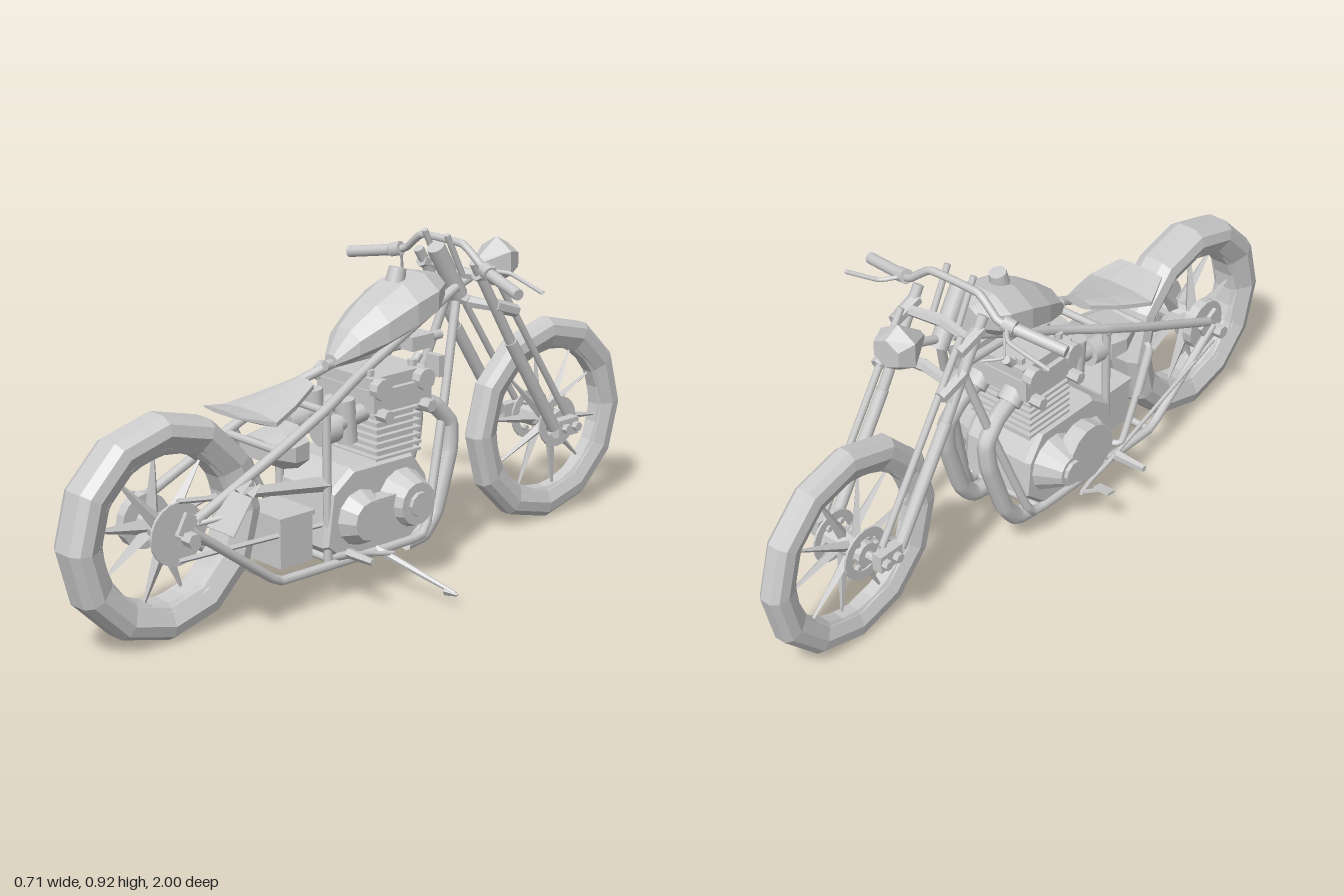
import * as THREE from 'three';

const flat = new THREE.MeshStandardMaterial({ color: 0xcccccc, flatShading: true, side: THREE.DoubleSide });
const smooth = new THREE.MeshStandardMaterial({ color: 0xcccccc, side: THREE.DoubleSide });
const V = (p) => new THREE.Vector3(...p);

export function createModel() {
  const model = new THREE.Group();
  model.name = 'motorcycle';
  const bike = new THREE.Group();
  bike.name = 'bike';
  bike.position.x = -0.012;
  model.add(bike);

  const add = (name, geo, mat = flat, parent = bike) => {
    const m = new THREE.Mesh(geo, mat);
    m.name = name;
    parent.add(m);
    return m;
  };
  const box = (name, size, pos, rx = 0) => {
    const m = add(name, new THREE.BoxGeometry(...size));
    m.position.set(...pos);
    m.rotation.x = rx;
    return m;
  };
  // Straight bar between two points, optionally tapered
  const rod = (name, a, b, r, r2 = r, sides = 8, parent = bike) => {
    const d = V(b).sub(V(a));
    const m = add(name, new THREE.CylinderGeometry(r2, r, d.length(), sides), sides > 7 ? smooth : flat, parent);
    m.position.copy(V(a).addScaledVector(d, 0.5));
    m.quaternion.setFromUnitVectors(new THREE.Vector3(0, 1, 0), d.normalize());
    return m;
  };
  // Bent pipe with slightly rounded corners
  const pipe = (name, pts, r) => {
    const path = new THREE.CatmullRomCurve3(pts.map(V), false, 'catmullrom', 0.2);
    return add(name, new THREE.TubeGeometry(path, pts.length * 6, r, 8), smooth);
  };
  // Disc or drum with its axis along x
  const disc = (name, r, w, pos, sides = 16, parent = bike, r2 = r) => {
    const m = add(name, new THREE.CylinderGeometry(r2, r, w, sides).rotateZ(-Math.PI / 2), flat, parent);
    m.position.set(...pos);
    return m;
  };
  // Skin over sections [z, bottom, top, half width], from rear to front
  const loft = (name, sections, n = 8) => {
    const pos = [], idx = [];
    for (const [z, lo, hi, hw] of sections)
      for (let i = 0; i < n; i++) {
        const a = (i / n) * Math.PI * 2 + Math.PI / n;
        pos.push(Math.cos(a) * hw * 1.08, (lo + hi) / 2 + (Math.sin(a) * (hi - lo) * 1.08) / 2, z);
      }
    const last = sections.length - 1;
    for (let s = 0; s < last; s++)
      for (let i = 0; i < n; i++) {
        const a = s * n + i, b = s * n + ((i + 1) % n);
        idx.push(a, a + n, b, b, a + n, b + n);
      }
    for (let i = 1; i < n - 1; i++) idx.push(0, i, i + 1, last * n, last * n + i + 1, last * n + i);
    const g = new THREE.BufferGeometry();
    g.setAttribute('position', new THREE.Float32BufferAttribute(pos, 3));
    g.setIndex(idx);
    g.computeVertexNormals();
    return add(name, g);
  };
  const ring = (profile, sides) =>
    new THREE.LatheGeometry(profile.map(([r, x]) => new THREE.Vector2(r, x)), sides).rotateZ(Math.PI / 2);
  const sides = (fn) => [-1, 1].forEach(fn);

  // Wheels
  const wheel = (name, z, hw, inner, spokes, spokeRadius) => {
    const w = new THREE.Group();
    w.name = name;
    w.position.set(0, 0.302, z);
    bike.add(w);
    add('tyre', ring([[inner, -hw * 0.65], [0.255, -hw], [0.285, -hw * 0.88], [0.301, -hw * 0.45], [0.301, hw * 0.45],
      [0.285, hw * 0.88], [0.255, hw], [inner, hw * 0.65], [inner, -hw * 0.65]], 12), flat, w);
    add('rim', ring([[inner - 0.012, -hw * 0.45], [inner + 0.01, -hw * 0.75], [inner + 0.01, hw * 0.75],
      [inner - 0.012, hw * 0.45], [inner - 0.012, -hw * 0.45]], 24), flat, w);
    for (let i = 0; i < spokes; i++) {
      const a = (i / spokes) * Math.PI * 2, x = (i % 2 ? 1 : -1) * hw * 0.4, b = a + 0.15;
      rod('spoke', [x, Math.sin(a) * 0.03, Math.cos(a) * 0.03],
        [x * 0.4, Math.sin(b) * inner, Math.cos(b) * inner], spokeRadius, 0.003, 4, w);
    }
    disc('hub', 0.034, 0.13, [0, 0, 0], 12, w);
    disc('axle', 0.012, 0.27, [0, 0, 0], 8, w);
    return w;
  };
  const rear = wheel('rearWheel', 0.7, 0.064, 0.21, 9, 0.022);
  disc('sprocket', 0.085, 0.008, [0.075, 0, 0], 20, rear);
  disc('brakeDrum', 0.075, 0.03, [-0.07, 0, 0], 16, rear);
  const front = wheel('frontWheel', -0.7, 0.039, 0.222, 10, 0.016);
  sides((s) => {
    const d = add('brakeDisc', ring([[0.05, -0.003], [0.075, -0.003], [0.075, 0.003], [0.05, 0.003], [0.05, -0.003]], 20), flat, front);
    d.position.x = s * 0.055;
    for (let i = 0; i < 6; i++) {
      const a = (i * Math.PI) / 3;
      disc('discBolt', 0.009, 0.012, [s * 0.05, Math.sin(a) * 0.045, Math.cos(a) * 0.045], 6, front);
    }
  });

  // Frame
  sides((s) => {
    pipe('upperFrameTube', [[s * 0.112, 0.34, 0.67], [s * 0.11, 0.46, 0.4], [s * 0.1, 0.54, 0.22], [s * 0.06, 0.6, 0.06],
      [s * 0.02, 0.76, -0.32]], 0.014);
    pipe('lowerFrameTube', [[s * 0.115, 0.32, 0.69], [s * 0.118, 0.12, 0.42], [s * 0.118, 0.11, 0.36], [s * 0.115, 0.11, -0.08],
      [s * 0.11, 0.14, -0.13], [s * 0.06, 0.46, -0.24], [s * 0.02, 0.72, -0.32]], 0.013);
    rod('seatPost', [s * 0.1, 0.11, 0.22], [s * 0.095, 0.54, 0.22], 0.012);
    box('axlePlate', [0.012, 0.06, 0.08], [s * 0.112, 0.325, 0.68], -0.5);
    disc('axleNut', 0.02, 0.035, [s * 0.13, 0.302, 0.7], 6);
  });
  for (const [y, z] of [[0.11, 0.4], [0.11, 0.2], [0.11, -0.08], [0.53, 0.22], [0.46, 0.39]])
    rod('crossTube', [-0.11, y, z], [0.11, y, z], 0.011);
  rod('backboneTube', [0, 0.62, 0.14], [0, 0.63, -0.28], 0.014);
  rod('steeringNeck', [0, 0.88, -0.26], [0, 0.73, -0.35], 0.026, 0.026, 12);

  // Forks, each with a slim tube in front, and yokes
  sides((s) => {
    const x = s * 0.11;
    rod('forkTube', [x, 0.85, -0.3], [x, 0.55, -0.475], 0.015);
    rod('forkLower', [x, 0.6, -0.446], [x, 0.31, -0.63], 0.018, 0.018, 10);
    rod('forkFrontTube', [x * 0.93, 0.82, -0.375], [x * 0.93, 0.34, -0.685], 0.01);
    box('axleClamp', [0.03, 0.05, 0.08], [x, 0.305, -0.675]);
    for (const z of [-0.66, -0.7]) disc('clampNut', 0.014, 0.03, [x * 1.15, 0.305, z], 6);
    rod('handlebarRiser', [s * 0.044, 0.8, -0.32], [s * 0.044, 0.92, -0.26], 0.009);
    for (const [y, z] of [[0.8, -0.35], [0.7, -0.42]]) {
      rod('yokeArm', [0, y, z + 0.02], [x, y, z], 0.018, 0.014, 6);
      rod('yokeClamp', [x, y + 0.015, z + 0.04], [x, y - 0.015, z - 0.045], 0.02, 0.018, 6);
    }
  });

  // Handlebar, grips and levers
  pipe('handlebar', [[-0.3, 0.815, -0.255], [-0.17, 0.84, -0.285], [-0.145, 0.85, -0.29], [-0.08, 0.897, -0.285],
    [0.08, 0.897, -0.285], [0.145, 0.85, -0.29], [0.17, 0.84, -0.285], [0.3, 0.815, -0.255]], 0.011);
  sides((s) => {
    rod('grip', [s * 0.2, 0.834, -0.275], [s * 0.335, 0.81, -0.243], 0.016, 0.016, 10);
    rod('leverClamp', [s * 0.165, 0.843, -0.285], [s * 0.195, 0.835, -0.277], 0.021, 0.021, 8);
    pipe('lever', [[s * 0.18, 0.84, -0.29], [s * 0.22, 0.832, -0.33], [s * 0.345, 0.803, -0.325]], 0.006);
  });
  pipe('brakeHose', [[-0.18, 0.83, -0.3], [-0.195, 0.77, -0.32], [-0.15, 0.755, -0.35]], 0.004);
  rod('frontHose', [-0.11, 0.8, -0.36], [-0.12, 0.66, -0.44], 0.004, 0.004, 4);

  // Headlight
  loft('headlight', [[-0.415, 0.79, 0.815, 0.015], [-0.495, 0.742, 0.868, 0.062], [-0.54, 0.77, 0.845, 0.045]], 6);
  rod('headlightBracket', [0, 0.76, -0.36], [0, 0.79, -0.45], 0.012);

  // Fuel tank and seat
  loft('fuelTank', [[0.12, 0.615, 0.645, 0.025], [0.07, 0.62, 0.71, 0.06], [-0.01, 0.635, 0.765, 0.088],
    [-0.1, 0.665, 0.81, 0.105], [-0.18, 0.695, 0.825, 0.1], [-0.25, 0.735, 0.81, 0.05]]);
  rod('fuelCap', [0, 0.805, -0.11], [0, 0.845, -0.12], 0.028, 0.024, 10);
  loft('seat', [[0.49, 0.555, 0.568, 0.075], [0.4, 0.52, 0.55, 0.11], [0.31, 0.54, 0.572, 0.08], [0.215, 0.57, 0.6, 0.04]]);

  // Engine cases and side covers
  const caseShape = new THREE.Shape([[0.23, 0.16], [0.21, 0.3], [0.14, 0.35], [-0.07, 0.35], [-0.12, 0.28],
    [-0.13, 0.18], [-0.06, 0.12], [0.17, 0.11]].map((p) => new THREE.Vector2(-p[0], p[1])));
  const cases = add('crankcase', new THREE.ExtrudeGeometry(caseShape,
    { depth: 0.2, bevelSize: 0.01, bevelThickness: 0.015, bevelSegments: 1 }));
  cases.rotation.y = Math.PI / 2;
  cases.position.x = -0.1;
  sides((s) => {
    disc('crankCover', s > 0 ? 0.085 : 0.045, 0.07, [s * 0.15, 0.24, -0.03], 14, bike, s > 0 ? 0.06 : 0.085);
    disc('gearboxCover', s > 0 ? 0.08 : 0.055, 0.05, [s * 0.137, 0.22, 0.12], 12, bike, s > 0 ? 0.055 : 0.08);
    disc('coverCap', 0.035, 0.02, [s * 0.187, 0.24, -0.03], 10);
    box('coverBridge', [0.05, 0.1, 0.14], [s * 0.135, 0.225, 0.05]);
  });
  disc('clutchCover', 0.085, 0.05, [-0.16, 0.255, 0.05], 14);

  // Cylinder block with fins, and head
  box('cylinderBlock', [0.18, 0.18, 0.13], [0, 0.42, -0.03]);
  for (let i = 0; i < 8; i++) box('coolingFin', [0.21, 0.008, 0.165], [0, 0.36 + i * 0.02, -0.03]);
  box('cylinderHead', [0.23, 0.06, 0.21], [0, 0.525, -0.035]);
  box('camCover', [0.2, 0.035, 0.2], [0, 0.57, -0.035]);
  sides((s) => {
    for (const z of [-0.11, 0.045]) {
      disc('camCap', 0.03, 0.03, [s * 0.115, 0.56, z], 10);
      rod('headBolt', [s * 0.07, 0.58, z], [s * 0.07, 0.605, z], 0.013, 0.013, 6);
      disc('headNut', 0.018, 0.04, [s * 0.13, 0.49, z], 6);
    }
    rod('sparkPlug', [s * 0.055, 0.56, -0.1], [s * 0.055, 0.61, -0.15], 0.012);
    // Carburettors and exhausts
    rod('intake', [s * 0.06, 0.49, 0.06], [s * 0.065, 0.47, 0.2], 0.026, 0.026, 10);
    rod('carburettor', [s * 0.065, 0.42, 0.12], [s * 0.065, 0.54, 0.13], 0.028, 0.028, 10);
    rod('airFilter', [s * 0.068, 0.47, 0.17], [s * 0.07, 0.465, 0.225], 0.038, 0.038, 12);
    rod('exhaustFlange', [s * 0.06, 0.5, -0.12], [s * 0.06, 0.475, -0.15], 0.036, 0.036, 10);
    pipe('exhaust', [[s * 0.06, 0.49, -0.12], [s * 0.065, 0.455, -0.2], [s * 0.07, 0.4, -0.25], [s * 0.075, 0.32, -0.245],
      [s * 0.08, 0.16, -0.19], [s * 0.08, 0.1, -0.14], [s * 0.08, 0.09, -0.075]], 0.025);
  });
  box('coil', [0.06, 0.04, 0.08], [0.03, 0.64, -0.16]);
  box('horn', [0.05, 0.06, 0.02], [0.05, 0.565, -0.215]);

  // Battery, oil tank and chain
  box('battery', [0.15, 0.13, 0.11], [0.02, 0.195, 0.325]);
  box('batteryLid', [0.16, 0.012, 0.12], [0.02, 0.265, 0.325]);
  loft('oilTank', [[0.38, 0.41, 0.47, 0.07], [0.32, 0.38, 0.48, 0.09], [0.265, 0.37, 0.49, 0.08]]);
  sides((s) => rod('chainRun', [0.078, 0.31 + s * 0.08, 0.7], [0.09, 0.26 + s * 0.045, 0.13], 0.008, 0.008, 4));
  rod('chainGuard', [0.09, 0.37, 0.51], [0.09, 0.33, 0.22], 0.014, 0.022, 4);
  disc('driveSprocket', 0.048, 0.012, [0.09, 0.26, 0.13], 14);

  // Foot controls, stand and kick lever
  sides((s) => {
    rod('pegMount', [s * 0.1, 0.12, 0.2], [s * 0.17, 0.15, 0.2], 0.011);
    rod('footPeg', [s * 0.16, 0.15, 0.2], [s * 0.255, 0.15, 0.2], 0.015, 0.01, 5);
    pipe('footLever', [[s * 0.15, 0.14, 0.18], [s * 0.15, 0.12, 0.1], [s * 0.16, 0.11, 0.04]], 0.007);
  });
  box('brakePedal', [0.05, 0.008, 0.03], [-0.225, 0.145, 0.06], 0.2);
  rod('brakePedalArm', [-0.16, 0.11, 0.05], [-0.22, 0.142, 0.06], 0.006, 0.006, 5);
  rod('sideStand', [0.115, 0.115, 0.06], [0.36, 0.04, 0.0], 0.012, 0.006, 6);
  rod('standFoot', [0.33, 0.042, 0.008], [0.367, 0.038, 0], 0.013, 0.004, 4);
  pipe('kickLever', [[-0.14, 0.2, 0.18], [-0.175, 0.21, 0.2], [-0.165, 0.44, 0.32], [-0.15, 0.46, 0.33]], 0.01);
  rod('kickPedal', [-0.172, 0.33, 0.265], [-0.165, 0.45, 0.325], 0.013, 0.013, 8);
  rod('brakeRod', [-0.15, 0.14, 0.18], [-0.12, 0.27, 0.69], 0.006);

  // Rear plate on its bracket
  const plateShape = new THREE.Shape([[-0.04, 0.11], [0.04, 0.11], [0.053, 0], [-0.053, 0]].map((p) => new THREE.Vector2(...p)));
  const plate = add('rearPlate', new THREE.ExtrudeGeometry(plateShape, { depth: 0.004, bevelEnabled: false }));
  plate.position.set(0.182, 0.322, 0.645);
  plate.rotation.x = -0.72;
  sides((s) => rod('plateStud', [0.182 + s * 0.022, 0.403, 0.57], [0.182 + s * 0.018, 0.428, 0.53], 0.015, 0.003, 4));
  rod('plateBracket', [0.11, 0.33, 0.67], [0.16, 0.35, 0.62], 0.007);
  return model;
}
